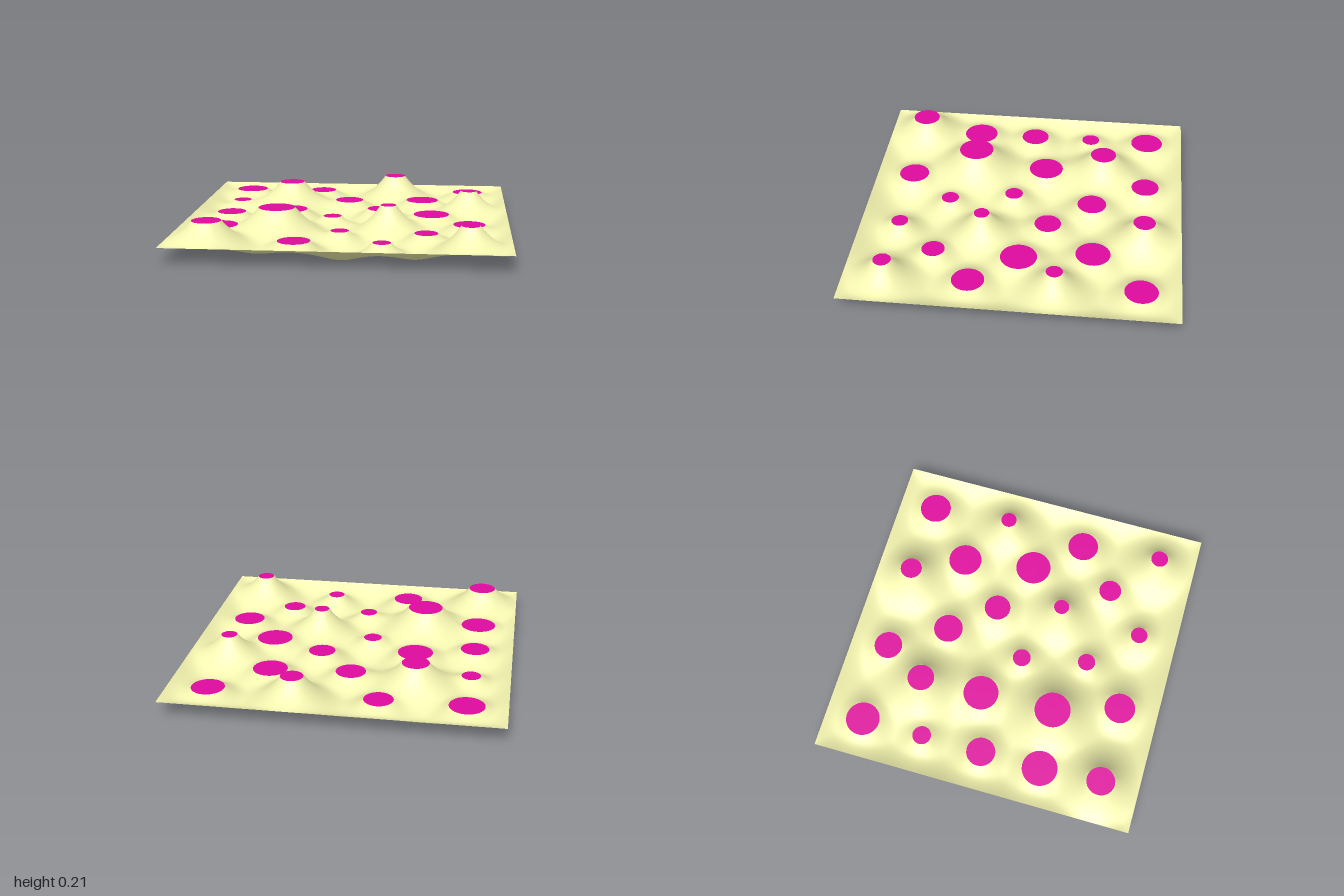
import * as THREE from 'three';

const N = 120, W = N + 1, STEP = 2 / N;
const LOW = 0.1, HIGH = 0.21;

// Rigid discs: x, z, radius, raised (1) or level with the border (0)
const DISCS = [
  [-0.763, -0.765, 0.105, 0], [-0.255, -0.765, 0.088, 0], [0.252, -0.765, 0.068, 1], [0.757, -0.765, 0.1, 0],
  [-0.437, -0.48, 0.083, 1], [-0.04, -0.43, 0.092, 0], [0.45, -0.465, 0.106, 0], [-0.763, -0.38, 0.058, 0],
  [0.757, -0.255, 0.05, 1], [0.185, -0.167, 0.083, 0], [-0.397, -0.105, 0.11, 0], [0.52, -0.02, 0.112, 0],
  [-0.763, 0.003, 0.09, 0], [-0.102, 0.078, 0.057, 0], [0.26, 0.238, 0.048, 1], [0.757, 0.255, 0.098, 0],
  [-0.763, 0.38, 0.11, 0], [-0.413, 0.363, 0.111, 1], [-0.017, 0.482, 0.055, 0], [0.5, 0.505, 0.071, 0],
  [-0.763, 0.76, 0.087, 1], [-0.255, 0.76, 0.096, 0], [0.252, 0.76, 0.053, 0], [0.757, 0.76, 0.054, 1],
];

// Grid whose nodes snap onto the disc rims; nodes on discs and border are pinned
function layOutGrid() {
  const x = new Float64Array(W * W), z = new Float64Array(W * W);
  const pin = new Float64Array(W * W), onDisc = new Uint8Array(W * W);
  for (let j = 0; j < W; j++) for (let i = 0; i < W; i++) {
    const k = j * W + i;
    x[k] = i * STEP - 1;
    z[k] = j * STEP - 1;
    if (i === 0 || j === 0 || i === N || j === N) pin[k] = LOW;
    for (const [cx, cz, r, up] of DISCS) {
      const dx = x[k] - cx, dz = z[k] - cz, d = Math.hypot(dx, dz);
      if (d > r + 0.55 * STEP) continue;
      pin[k] = up ? HIGH : LOW;
      onDisc[k] = 1;
      if (d > r - 0.55 * STEP) {
        x[k] = cx + dx * r / d;
        z[k] = cz + dz * r / d;
      }
    }
  }
  return { x, z, pin, onDisc };
}

// Hanging cloth: stretches between the pins, stiffens with slope, sags down to y = 0
function relax({ x, z, pin }) {
  const size = W * W;
  const lift = Float64Array.from(pin, p => p || LOW), sag = new Float64Array(size);
  let h = Float64Array.from(lift);
  const wx = new Float64Array(size), wz = new Float64Array(size);
  const slope = (k, s) => (h[k + s] - h[k - s]) / (2 * STEP);

  const stiffness = (k, s, t) => {
    const len = Math.hypot(x[k + s] - x[k], z[k + s] - z[k]);
    const along = (h[k + s] - h[k]) / len;
    const across = (slope(k, t) + slope(k + s, t)) / 2 || 0;
    return (0.2 + Math.hypot(along, across)) * STEP / len;
  };
  const sweep = (f, load) => {
    for (let j = 1; j < N; j++) for (let i = 1; i < N; i++) {
      const k = j * W + i;
      if (pin[k]) continue;
      const a = wx[k], b = wx[k - 1], c = wz[k], d = wz[k - W];
      const target = (a * f[k + 1] + b * f[k - 1] + c * f[k + W] + d * f[k - W] + load) / (a + b + c + d);
      f[k] += 1.7 * (target - f[k]);
    }
  };

  for (let pass = 0; pass < 14; pass++) {
    for (let j = 0; j < N; j++) for (let i = 0; i < N; i++) {
      const k = j * W + i, keep = pass ? 0.5 : 0;
      if (j > 0) wx[k] = keep * wx[k] + (1 - keep) * stiffness(k, 1, W);
      if (i > 0) wz[k] = keep * wz[k] + (1 - keep) * stiffness(k, W, 1);
    }
    for (let n = 0; n < 100; n++) {
      sweep(lift, 0);
      sweep(sag, STEP * STEP);
    }
    // Weight of the cloth that makes its lowest point just touch the ground
    let weight = Infinity;
    for (let k = 0; k < size; k++) if (!pin[k]) weight = Math.min(weight, lift[k] / sag[k]);
    h = lift.map((v, k) => v - weight * sag[k]);
  }
  return h;
}

function clothGeometry() {
  const grid = layOutGrid();
  const h = relax(grid);
  const positions = [], index = [];
  for (let k = 0; k < W * W; k++) positions.push(grid.x[k], h[k], grid.z[k]);
  // Leave openings where the discs sit
  const tri = (...t) => { if (!t.every(k => grid.onDisc[k])) index.push(...t); };
  for (let j = 0; j < N; j++) for (let i = 0; i < N; i++) {
    const a = j * W + i, b = a + 1, c = a + W, d = c + 1;
    if ((i + j) % 2) { tri(a, c, b); tri(b, c, d); }
    else { tri(a, c, d); tri(a, d, b); }
  }
  const geo = new THREE.BufferGeometry();
  geo.setAttribute('position', new THREE.Float32BufferAttribute(positions, 3));
  geo.setIndex(index);
  geo.computeVertexNormals();
  return geo;
}

export function createModel() {
  const model = new THREE.Group();
  model.name = 'stretchedCloth';

  const cloth = new THREE.Mesh(clothGeometry(),
    new THREE.MeshStandardMaterial({ color: 0xf4f4b0, side: THREE.DoubleSide }));
  cloth.name = 'cloth';
  model.add(cloth);

  // Flat discs filling the openings
  const discMaterial = new THREE.MeshStandardMaterial({ color: 0xe00aa0, side: THREE.DoubleSide });
  const discs = new THREE.Group();
  discs.name = 'discs';
  DISCS.forEach(([cx, cz, r, up], n) => {
    const disc = new THREE.Mesh(new THREE.CircleGeometry(r, 48).rotateX(-Math.PI / 2), discMaterial);
    disc.name = `${up ? 'raisedDisc' : 'levelDisc'}${n + 1}`;
    disc.position.set(cx, up ? HIGH : LOW, cz);
    discs.add(disc);
  });
  model.add(discs);
  return model;
}
